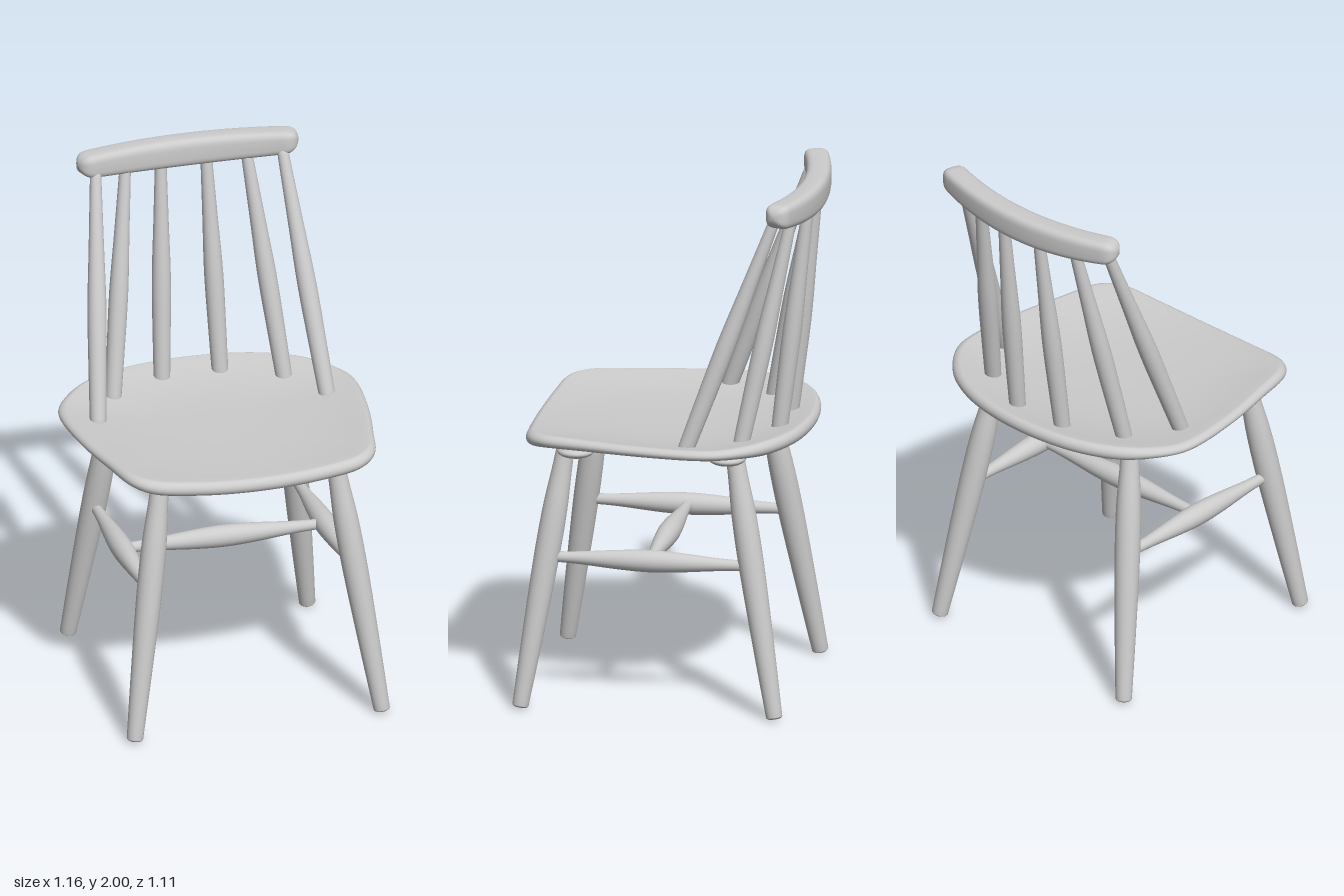
import * as THREE from 'three';

const material = new THREE.MeshStandardMaterial({ color: 0xcccccc });

function addMesh(parent, name, geometry) {
  const mesh = new THREE.Mesh(geometry, material);
  mesh.name = name;
  parent.add(mesh);
  return mesh;
}

// Smooth skin over a list of closed rings holding equal numbers of points
function loft(rings) {
  const n = rings[0].length, index = [];
  for (let j = 0; j < rings.length - 1; j++) {
    for (let i = 0; i < n; i++) {
      const k = (i + 1) % n, a = j * n, b = a + n;
      index.push(a + i, b + i, b + k, a + i, b + k, a + k);
    }
  }
  const geometry = new THREE.BufferGeometry().setFromPoints(rings.flat());
  geometry.setIndex(index);
  geometry.computeVertexNormals();
  return geometry;
}

// Turned rod from a to b; stations are [fraction of length, radius]
function addRod(parent, name, a, b, stations) {
  const from = new THREE.Vector3(...a), dir = new THREE.Vector3(...b).sub(from);
  const length = dir.length();
  const curve = new THREE.SplineCurve(stations.map(([t, r]) => new THREE.Vector2(r, t * length)));
  const body = curve.getPoints(28);
  const first = body[0], last = body[body.length - 1];
  const profile = [
    new THREE.Vector2(0, -0.008), new THREE.Vector2(first.x * 0.75, -0.007),
    new THREE.Vector2(first.x * 0.94, -0.003), ...body, new THREE.Vector2(0, last.y),
  ];
  const mesh = addMesh(parent, name, new THREE.LatheGeometry(profile, 24));
  mesh.position.copy(from);
  mesh.quaternion.setFromUnitVectors(new THREE.Vector3(0, 1, 0), dir.normalize());
}

// Dished seat with a rounded rim and a front lip that rolls down
function seatGeometry() {
  const half = [[0.25, 0.535], [0.41, 0.51], [0.475, 0.45], [0.52, 0.28], [0.56, 0.08],
    [0.58, -0.15], [0.565, -0.24], [0.51, -0.33], [0.42, -0.415], [0.25, -0.49]];
  const outline = [[0, 0.545], ...half, [0, -0.52], ...half.slice().reverse().map(([x, z]) => [-x, z])];
  const curve = new THREE.CatmullRomCurve3(outline.map(([x, z]) => new THREE.Vector3(x, 0, z)), true);
  const edge = curve.getPoints(132).slice(0, -1);
  const rimY = (p) => 1.046 - 0.034 * THREE.MathUtils.smoothstep(p.z, 0.3, 0.54) * Math.max(0, 1 - (p.x / 0.5) ** 2);
  const rimH = (p) => 0.028 - 0.008 * THREE.MathUtils.smoothstep(Math.abs(p.x), 0.4, 0.58);
  const ring = (s, height) => edge.map((p) => new THREE.Vector3(p.x * s, height(p), p.z * s));
  const inner = 0.95, rings = [];
  for (let j = 0; j <= 14; j++) {
    const t = j / 14;
    rings.push(ring(t * inner, (p) => THREE.MathUtils.lerp(1.03, rimY(p) + rimH(p), t ** 3)));
  }
  for (let j = 1; j < 10; j++) {
    const a = Math.PI / 2 - (j / 10) * Math.PI;
    rings.push(ring(inner + (1 - inner) * Math.cos(a), (p) => rimY(p) + rimH(p) * Math.sin(a)));
  }
  for (let j = 14; j >= 0; j--) {
    const t = j / 14;
    rings.push(ring(t * inner, (p) => THREE.MathUtils.lerp(0.98, rimY(p) - rimH(p), t ** 4)));
  }
  return loft(rings);
}

// Arc of the top rail in plan
const railZ = (x) => -0.508 + 0.4 * x * x;

// Curved top rail: a rounded-box section swept along the arc with soft ends
function railGeometry() {
  const rings = [], steps = 64, sections = 32, reach = 0.43;
  const soft = (v) => Math.sign(v) * Math.abs(v) ** 0.55;
  for (let j = 0; j <= steps; j++) {
    const u = -Math.cos((j / steps) * Math.PI);
    const x = u * reach, e = (x / reach) ** 2;
    const k = Math.max(0, (Math.abs(x) - 0.37) / (reach - 0.37));
    const cap = Math.sqrt(Math.max(0, 1 - k ** 3));
    const slope = new THREE.Vector2(1, 0.8 * x).normalize();
    rings.push(Array.from({ length: sections }, (_, i) => {
      const a = (i / sections) * Math.PI * 2;
      const h = (0.057 - 0.012 * e) * cap * soft(Math.cos(a));
      const d = -0.048 * cap * soft(Math.sin(a));
      return new THREE.Vector3(x - slope.y * d, 1.935 + 0.02 * e + h, railZ(x) + slope.x * d);
    }));
  }
  return loft(rings);
}

export function createModel() {
  const chair = new THREE.Group();
  chair.name = 'chair';
  addMesh(chair, 'seat', seatGeometry());
  addMesh(chair, 'topRail', railGeometry());

  // Rounded battens under the seat that take the leg tops
  for (const [name, z] of [['frontBatten', 0.33], ['backBatten', -0.25]]) {
    const batten = addMesh(chair, name, new THREE.CapsuleGeometry(0.07, 0.76, 8, 24));
    batten.geometry.rotateZ(Math.PI / 2).scale(1, 0.36, 1);
    batten.position.set(0, 0.991, z);
  }

  const legShape = [[0, 0.031], [0.25, 0.04], [0.55, 0.048], [0.75, 0.047], [0.9, 0.038], [1, 0.034]];
  const spindleShape = [[0, 0.031], [0.2, 0.034], [0.45, 0.036], [0.7, 0.029], [1, 0.021]];
  const stretcherShape = [[0, 0.019], [0.15, 0.024], [0.35, 0.037], [0.5, 0.042], [0.65, 0.037], [0.85, 0.024], [1, 0.019]];
  // Spindle feet on the seat and tops in the rail
  const spindles = [
    ['outerSpindle', [0.448, 1.04, -0.105], [0.365, 1.93, -0.43]],
    ['middleSpindle', [0.335, 1.035, -0.295], [0.235, 1.93, -0.475]],
    ['innerSpindle', [0.114, 1.035, -0.4], [0.088, 1.93, -0.508]],
  ];

  for (const side of [1, -1]) {
    const prefix = side > 0 ? 'left' : 'right';
    const flip = ([x, y, z]) => [x * side, y, z];
    const rod = (name, a, b, shape) => addRod(chair, prefix + name, flip(a), flip(b), shape);
    rod('FrontLeg', [0.483, 0.014, 0.522], [0.34, 1.01, 0.372], legShape);
    rod('BackLeg', [0.468, 0.014, -0.447], [0.34, 1.01, -0.27], legShape);
    rod('SideStretcher', [0.4, 0.578, 0.43], [0.395, 0.578, -0.34], stretcherShape);
    for (const [name, foot, top] of spindles) {
      rod(name[0].toUpperCase() + name.slice(1), foot, top, spindleShape);
    }
  }

  // Cross stretcher joining the two side stretchers
  addRod(chair, 'crossStretcher', [-0.39, 0.578, 0.045], [0.39, 0.578, 0.045], stretcherShape);
  return chair;
}
